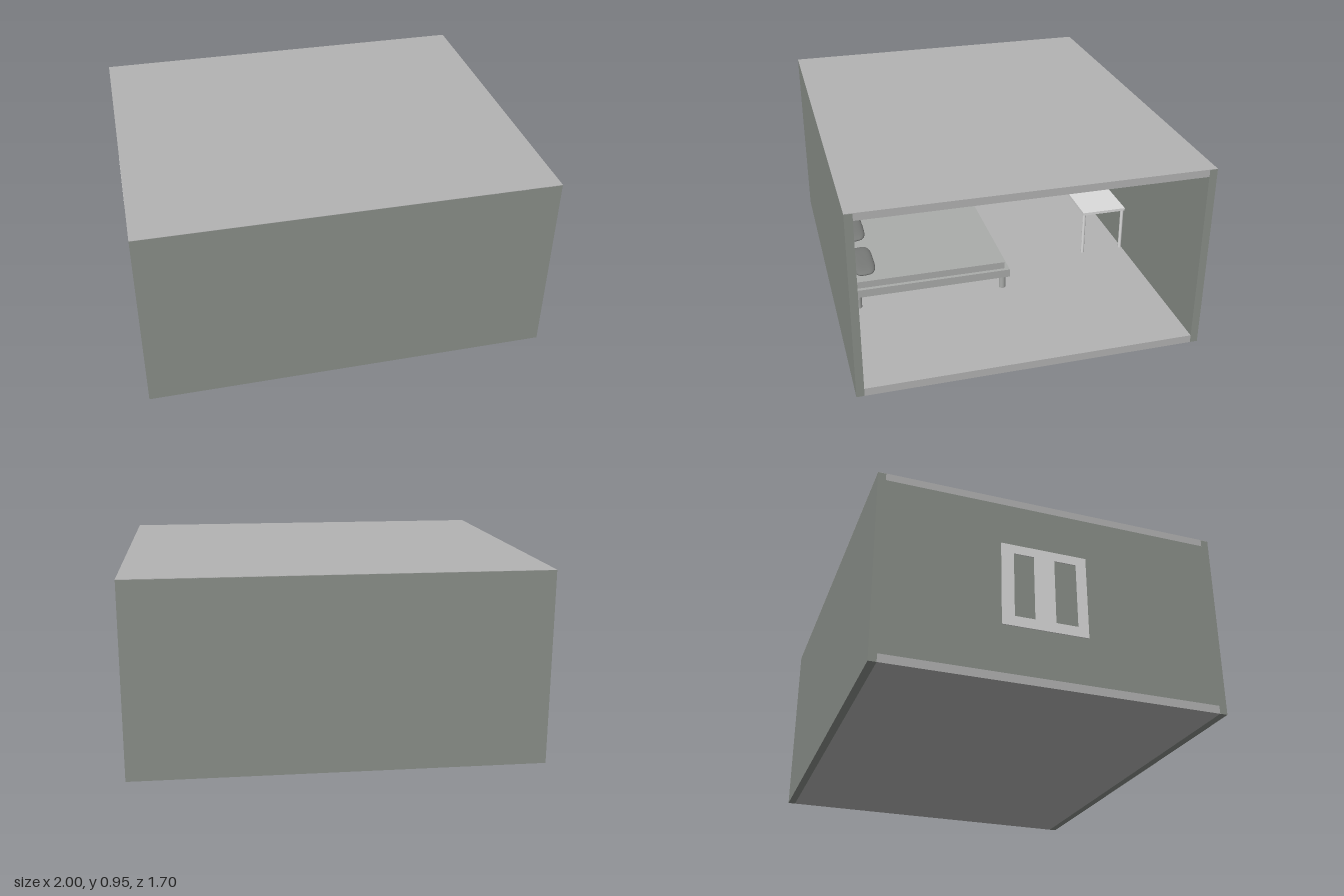
import * as THREE from 'three';

const mat = (name, color) => Object.assign(new THREE.MeshStandardMaterial({ color }), { name });
const WALL = mat('wall green grey', 0x8a8f89);
const SLAB = mat('slab grey', 0xb3b3b3);
const WHITE = mat('off white', 0xdbdbdb);
const GLASS = mat('pale teal', 0xacd8d4);
const DARK = mat('dark metal', 0x4c4e4d);
const FABRIC = mat('cushion grey', 0x777977);
const BED = mat('bed grey', 0xaaacaa);

function add(parent, name, geometry, material, x = 0, y = 0, z = 0) {
  const m = new THREE.Mesh(geometry, material);
  m.name = name;
  m.position.set(x, y, z);
  parent.add(m);
  return m;
}

// Box given by its minimum and maximum corners
function box(parent, name, material, [x0, y0, z0], [x1, y1, z1]) {
  return add(parent, name, new THREE.BoxGeometry(x1 - x0, y1 - y0, z1 - z0), material,
    (x0 + x1) / 2, (y0 + y1) / 2, (z0 + z1) / 2);
}

// Thin round bar between two points
function bar(parent, name, material, a, b, r, sides = 16) {
  const p = new THREE.Vector3(...a), q = new THREE.Vector3(...b);
  const d = q.clone().sub(p);
  const m = add(parent, name, new THREE.CylinderGeometry(r, r, d.length(), sides), material);
  m.position.copy(p).add(q).multiplyScalar(0.5);
  m.quaternion.setFromUnitVectors(new THREE.Vector3(0, 1, 0), d.normalize());
  return m;
}

function group(parent, name) {
  const g = new THREE.Group();
  g.name = name;
  parent.add(g);
  return g;
}

function rectPath(P, x0, y0, x1, y1) {
  const p = new P();
  p.moveTo(x0, y0);
  p.lineTo(x1, y0);
  p.lineTo(x1, y1);
  p.lineTo(x0, y1);
  p.closePath();
  return p;
}

function cushion(parent, name, material, pos, size, tilt) {
  const g = new THREE.SphereGeometry(1, 32, 20);
  const p = g.attributes.position;
  // Square the sphere off in its own plane
  const sq = v => Math.sign(v) * Math.pow(Math.abs(v), 0.6);
  for (let i = 0; i < p.count; i++) p.setXYZ(i, sq(p.getX(i)), p.getY(i), sq(p.getZ(i)));
  g.scale(...size);
  g.computeVertexNormals();
  add(parent, name, g, material, ...pos).rotation.x = tilt;
}

export function createModel() {
  const root = new THREE.Group();
  root.name = 'bedroom';

  // Room shell, open on the +x side
  const shell = group(root, 'roomShell');
  box(shell, 'floor', SLAB, [-0.995, 0, -0.81], [1, 0.04, 0.81]);
  box(shell, 'ceiling', SLAB, [-0.995, 0.91, -0.81], [1, 0.945, 0.81]);
  for (const s of [-1, 1])
    box(shell, s > 0 ? 'frontWall' : 'backWall', WALL,
      [-0.995, 0, s > 0 ? 0.81 : -0.848], [1, 0.945, s > 0 ? 0.848 : -0.81]);
  box(shell, 'sideWall', WALL, [-0.995, 0.04, -0.81], [-0.955, 0.91, 0.81]);
  // Roof and underside skins over the wall ends
  box(shell, 'roofSkin', SLAB, [-0.995, 0.944, -0.848], [1, 0.9465, 0.848]);

  // Window: a frame with two openings, glazed on the inside
  const win = group(root, 'window');
  const outline = rectPath(THREE.Shape, -0.16, 0.275, 0.26, 0.695);
  const panes = [[0, 0.11], [-0.2, -0.1]];
  for (const [a, b] of panes) outline.holes.push(rectPath(THREE.Path, -b, 0.325, -a, 0.65));
  const frame = new THREE.ExtrudeGeometry(outline, { depth: 0.055, bevelEnabled: false });
  add(win, 'windowFrame', frame, WHITE, -1, 0, 0).rotation.y = Math.PI / 2;
  for (const [a, b] of panes)
    box(win, 'windowPane', GLASS, [-0.956, 0.325, a], [-0.95, 0.65, b]);

  // Headboard: round border around a flat panel on the front wall
  const head = group(root, 'headboard');
  for (const s of [-1, 1])
    bar(head, 'headboardPost', WHITE, [s * 0.6, 0.04, 0.808], [s * 0.6, 0.575, 0.808], 0.026);
  bar(head, 'headboardRail', WHITE, [-0.6, 0.575, 0.808], [0.6, 0.575, 0.808], 0.026);
  for (const s of [-1, 1])
    add(head, 'headboardCorner', new THREE.SphereGeometry(0.026, 16, 12), WHITE, s * 0.6, 0.575, 0.808);
  box(head, 'headboardPanel', BED, [-0.58, 0.04, 0.795], [0.58, 0.56, 0.81]);

  // Bed
  const bed = group(root, 'bed');
  box(bed, 'bedFrame', BED, [-0.37, 0.12, -0.065], [0.37, 0.163, 0.785]);
  box(bed, 'mattress', BED, [-0.35, 0.163, -0.04], [0.35, 0.2, 0.78]);
  for (const x of [-0.33, 0.33])
    for (const z of [-0.035, 0.735])
      bar(bed, 'bedLeg', BED, [x, 0.04, z], [x, 0.12, z], 0.018);
  for (const x of [-0.18, 0.18]) {
    cushion(bed, 'standingCushion', FABRIC, [x, 0.255, 0.757], [0.14, 0.026, 0.075], Math.PI / 2 + 0.12);
    cushion(bed, 'flatPillow', FABRIC, [x, 0.22, 0.685], [0.14, 0.018, 0.058], 0.08);
  }
  for (const z of [0.758, 0.778])
    bar(bed, 'bolster', WHITE, [-0.2, 0.332, z], [0.2, 0.332, z], 0.016);

  // Desk with a screen
  const desk = group(root, 'desk');
  box(desk, 'deskTop', WHITE, [-0.62, 0.282, -0.81], [0.115, 0.297, -0.565]);
  for (const x of [-0.605, 0.1])
    for (const z of [-0.575, -0.8])
      bar(desk, 'deskLeg', WHITE, [x, 0.04, z], [x, 0.282, z], 0.009);
  const screen = group(root, 'screen');
  box(screen, 'screenBase', DARK, [-0.34, 0.297, -0.79], [-0.16, 0.303, -0.725]);
  box(screen, 'screenStand', DARK, [-0.27, 0.303, -0.772], [-0.23, 0.36, -0.762]);
  box(screen, 'screenPanel', DARK, [-0.46, 0.345, -0.766], [-0.04, 0.555, -0.758]);

  // Chandelier: three rings hung on wires
  const lamp = group(root, 'chandelier');
  lamp.position.z = -0.108;
  add(lamp, 'canopy', new THREE.CylinderGeometry(0.034, 0.034, 0.012, 32), DARK, 0, 0.904, 0);
  add(lamp, 'canopyHub', new THREE.CylinderGeometry(0.018, 0.012, 0.025, 24), DARK, 0, 0.888, 0);
  for (const [r, y] of [[0.177, 0.73], [0.142, 0.695], [0.107, 0.658]]) {
    const profile = [[r - 0.012, -0.005], [r, -0.005], [r, 0.005], [r - 0.012, 0.005], [r - 0.012, -0.005]];
    const ring = new THREE.LatheGeometry(profile.map(p => new THREE.Vector2(...p)), 48);
    add(lamp, 'lampRing', ring, DARK, 0, y, 0);
    for (let i = 0; i < 6; i++) {
      const c = Math.cos(i * Math.PI / 3 + y), s = Math.sin(i * Math.PI / 3 + y);
      bar(lamp, 'lampWire', WHITE, [c * 0.02, 0.9, s * 0.02], [c * (r - 0.006), y, s * (r - 0.006)], 0.0012, 6);
    }
  }
  return root;
}
